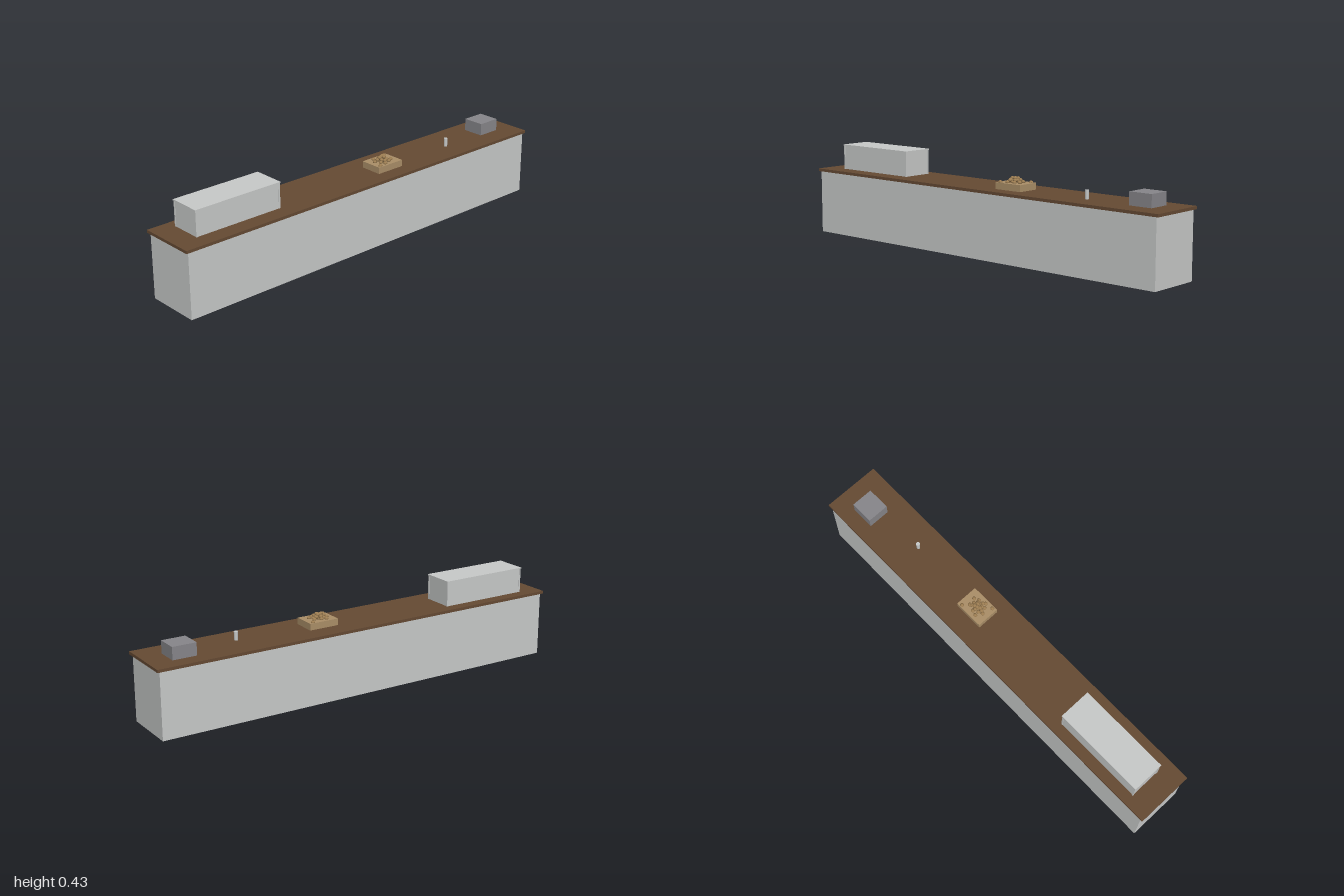
import * as THREE from 'three';

const mat = (name, color) => {
  const m = new THREE.MeshStandardMaterial({ color });
  m.name = name;
  return m;
};

export function createModel() {
  const root = new THREE.Group();
  root.name = 'shopCounter';
  const paint = mat('pale grey', 0xc8cac9);
  const wood = mat('dark brown wood', 0x654a33);
  const steel = mat('mid grey', 0x87868a);
  const crateWood = mat('light wood', 0xab8f68);
  const crust = mat('baked brown', 0x9c7d52);

  // Box given by its lower and upper limits
  const box = (name, m, [x0, x1], [y0, y1], [z0, z1], parent = root) => {
    const mesh = new THREE.Mesh(new THREE.BoxGeometry(x1 - x0, y1 - y0, z1 - z0), m);
    mesh.position.set((x0 + x1) / 2, (y0 + y1) / 2, (z0 + z1) / 2);
    mesh.name = name;
    parent.add(mesh);
    return mesh;
  };

  // Counter body, underside and worktop
  const top = 0.311;
  box('counterBody', paint, [-0.988, 0.988], [0.001, 0.298], [-0.128, 0.128]);
  box('counterUnderside', wood, [-0.983, 0.983], [0, 0.008], [-0.123, 0.123]);
  box('worktop', wood, [-1, 1], [0.298, top], [-0.135, 0.135]);

  // Display case: recessed panels between corner posts, under a thin lid
  const displayCase = new THREE.Group();
  displayCase.name = 'displayCase';
  root.add(displayCase);
  const [cx0, cx1, cz0, cz1, lidY] = [-0.897, -0.467, -0.087, 0.06, 0.425];
  const post = 0.007, inset = 0.002;
  for (const x of [cx0, cx1 - post])
    for (const z of [cz0, cz1 - post])
      box('casePost', paint, [x, x + post], [top, lidY], [z, z + post], displayCase);
  for (const z of [cz0 + inset, cz1 - inset - 0.003])
    box('caseLongPanel', paint, [cx0 + post, cx1 - post], [top, lidY], [z, z + 0.003], displayCase);
  for (const x of [cx0 + inset, cx1 - inset - 0.003])
    box('caseEndPanel', paint, [x, x + 0.003], [top, lidY], [cz0 + post, cz1 - post], displayCase);
  box('caseLid', paint, [-0.899, -0.465], [lidY, 0.43], [-0.089, 0.062], displayCase);

  // Crate with a heap of small rolls
  box('crate', crateWood, [0.095, 0.236], [top, 0.341], [-0.042, 0.064]);
  const rolls = new THREE.Group();
  rolls.name = 'rolls';
  root.add(rolls);
  const rollGeo = new THREE.SphereGeometry(0.0085, 10, 8);
  const addRoll = (x, y, z) => {
    const roll = new THREE.Mesh(rollGeo, crust);
    roll.name = 'roll';
    roll.position.set(x, y, z);
    roll.scale.set(1.1, 0.9, 1);
    rolls.add(roll);
  };
  const layers = [[13, 0.041, 0.344], [8, 0.027, 0.352], [4, 0.015, 0.36]];
  for (const [count, radius, y] of layers)
    for (let i = 0; i < count; i++) {
      const a = i * 2.4 + y * 100;
      const r = radius * Math.sqrt((i + 0.5) / count);
      addRoll(0.16 + 1.1 * r * Math.cos(a), y, 0.012 + r * Math.sin(a));
    }
  addRoll(0.216, 0.342, -0.032);
  addRoll(0.113, 0.343, 0.053);

  // Drinking cup
  const cup = new THREE.Mesh(new THREE.CylinderGeometry(0.009, 0.008, 0.039, 16), paint);
  cup.name = 'cup';
  cup.position.set(0.564, top + 0.0195, 0.021);
  root.add(cup);

  // Till
  box('till', steel, [0.79, 0.9], [top, 0.368], [-0.065, 0.037]);

  return root;
}
